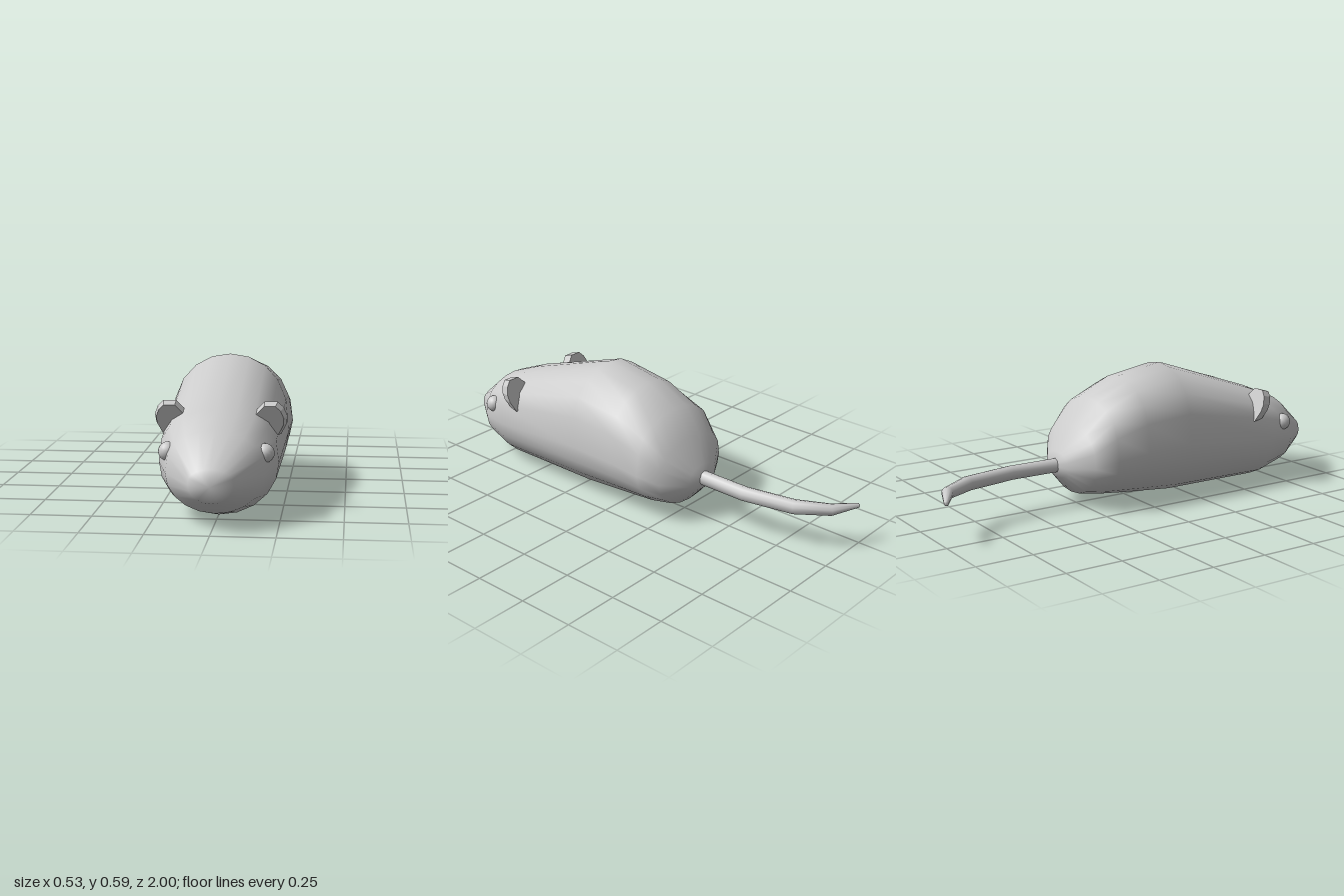
import * as THREE from 'three';
import { mergeVertices } from 'three/addons/utils/BufferGeometryUtils.js';

const material = new THREE.MeshStandardMaterial({ color: 0xcccccc });

// Smooth skin over rings of points, listed from back (-z) to front (+z)
function loft(rings) {
  const n = rings[0].length;
  const index = [];
  for (let k = 0; k < rings.length - 1; k++) {
    for (let i = 0; i < n; i++) {
      const a = k * n + i, b = k * n + (i + 1) % n;
      index.push(a, a + n, b, b, a + n, b + n);
    }
  }
  let geo = new THREE.BufferGeometry().setFromPoints(rings.flat());
  geo.setIndex(index);
  geo = mergeVertices(geo, 1e-5);
  geo.computeVertexNormals();
  return geo;
}

function addMesh(parent, name, geometry) {
  const mesh = new THREE.Mesh(geometry, material);
  mesh.name = name;
  parent.add(mesh);
  return mesh;
}

// Body section: round belly, slightly squared back
function bodyRing([z, halfWidth, bottom, middle, top]) {
  return Array.from({ length: 20 }, (_, i) => {
    const a = i * Math.PI / 10, c = Math.cos(a);
    const y = c > 1e-6 ? middle + (top - middle) * Math.pow(c, 0.75)
      : middle + (middle - bottom) * c;
    return new THREE.Vector3(halfWidth * Math.sin(a), y, z);
  });
}

// Tail: tapered tube bending sideways in the horizontal plane
function tailGeometry() {
  const path = [ // x, y, z, radius
    [-0.245, 0.185, -0.995, 0], [-0.24, 0.185, -0.99, 0.01],
    [-0.125, 0.19, -0.93, 0.026], [-0.045, 0.19, -0.8, 0.032],
    [0, 0.19, -0.575, 0.032], [0, 0.19, -0.3, 0.032],
  ];
  return loft(path.map(([x, y, z, r], k) => {
    const p = path[Math.max(k - 1, 0)], q = path[Math.min(k + 1, path.length - 1)];
    const t = new THREE.Vector3(q[0] - p[0], 0, q[2] - p[2]).normalize();
    return Array.from({ length: 10 }, (_, i) => {
      const a = i * Math.PI / 5, s = r * Math.sin(a);
      return new THREE.Vector3(x + s * t.z, y + r * Math.cos(a), z - s * t.x);
    });
  }));
}

// Ear: thick fan-shaped plate, leaning forward and wider at the back
function earGeometry(side) {
  const outline = [[0.233, 0.32], [0.253, 0.362], [0.255, 0.39], [0.243, 0.42],
    [0.223, 0.44], [0.178, 0.44], [0.145, 0.405], [0.17, 0.34]];
  const shape = new THREE.Shape(outline.map(([x, y]) => new THREE.Vector2(x * side, y)));
  const geo = new THREE.ExtrudeGeometry(shape, { depth: 0.048, bevelEnabled: false });
  const pos = geo.attributes.position;
  for (let i = 0; i < pos.count; i++) {
    const grow = pos.getZ(i) < 0.01 ? 1.16 : 1;
    const x = side * 0.18 + (pos.getX(i) - side * 0.18) * grow;
    const y = 0.36 + (pos.getY(i) - 0.36) * grow;
    pos.setXYZ(i, x, y, pos.getZ(i) + 0.565 + (y - 0.335) * 0.36);
  }
  geo.computeVertexNormals();
  return geo;
}

export function createModel() {
  const model = new THREE.Group();
  model.name = 'mouse';

  // z, half width, bottom, widest height, top
  const sections = [
    [-0.365, 0, 0.19, 0.19, 0.19],
    [-0.345, 0.09, 0.135, 0.19, 0.25],
    [-0.275, 0.208, 0.058, 0.205, 0.36],
    [-0.185, 0.251, 0.043, 0.235, 0.47],
    [-0.03, 0.252, 0.025, 0.25, 0.55],
    [0.195, 0.252, 0.004, 0.255, 0.59],
    [0.675, 0.24, 0.004, 0.22, 0.43],
    [0.82, 0.193, 0.045, 0.2, 0.37],
    [0.96, 0.088, 0.118, 0.19, 0.25],
    [1, 0, 0.19, 0.19, 0.19],
  ];
  addMesh(model, 'body', loft(sections.map(bodyRing)));
  addMesh(model, 'tail', tailGeometry());

  for (const [name, side] of [['left', 1], ['right', -1]]) {
    addMesh(model, name + 'Ear', earGeometry(side));
    const eye = addMesh(model, name + 'Eye', new THREE.SphereGeometry(0.038, 16, 12));
    eye.position.set(side * 0.19, 0.277, 0.765);
  }
  return model;
}
